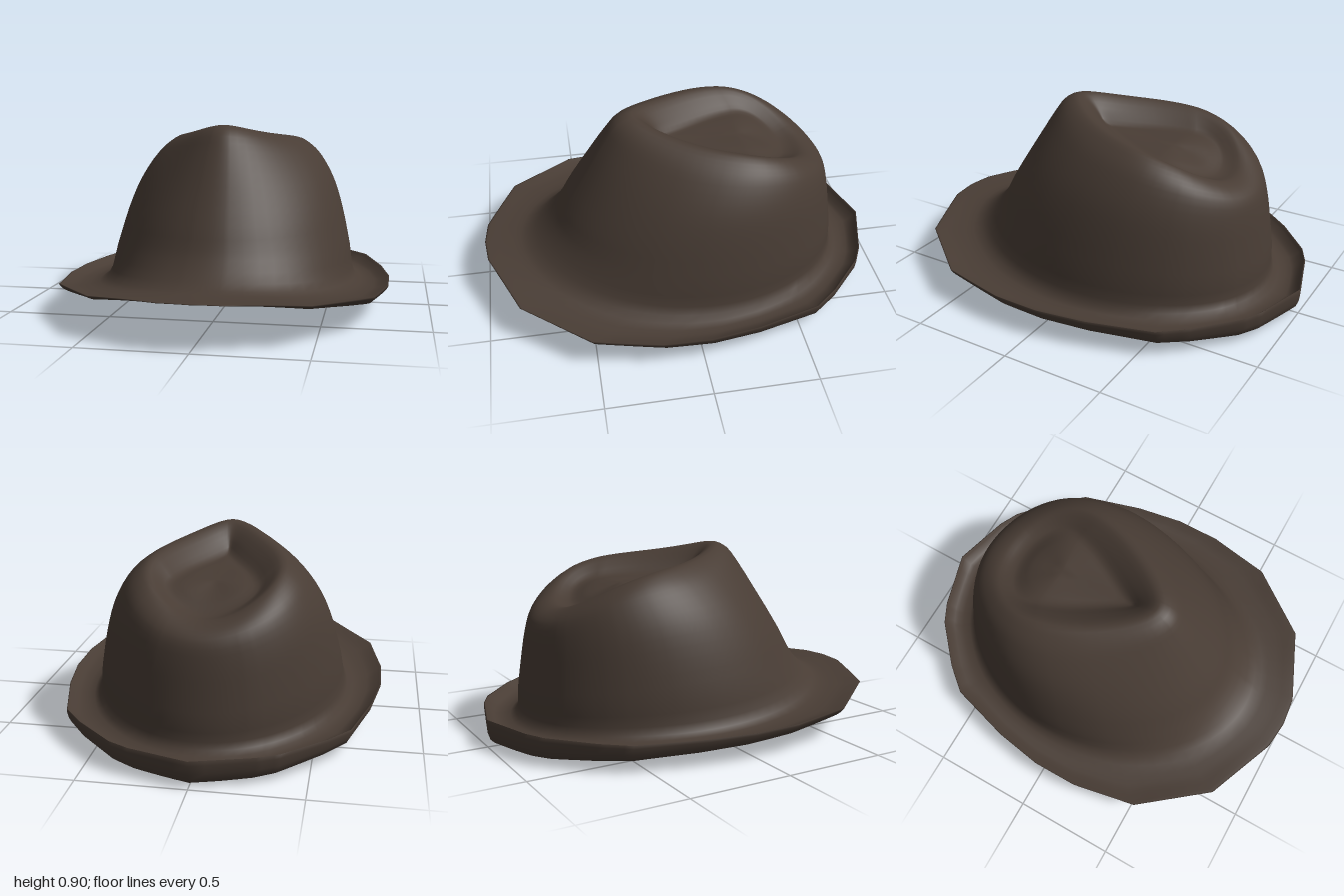
import * as THREE from 'three';
import { mergeVertices } from 'three/addons/utils/BufferGeometryUtils.js';

// Half of the faceted brim outline, front to back: [x, z]
const OUTLINE = [[0, 1], [0.14, 0.985], [0.49, 0.84], [0.74, 0.52], [0.8, 0.2], [0.8, -0.03],
  [0.76, -0.27], [0.67, -0.58], [0.57, -0.7], [0.38, -0.87], [0.28, -0.92], [0, -1]];

// Columns around the hat: angle from the front and outline radius relative to an ellipse
function makeColumns() {
  const half = [];
  for (let i = 0; i < OUTLINE.length - 1; i++) {
    for (const f of [0, 0.25, 0.5, 0.75]) {
      const [p, q] = [OUTLINE[i], OUTLINE[i + 1]];
      half.push([p[0] + (q[0] - p[0]) * f, p[1] + (q[1] - p[1]) * f]);
    }
  }
  half.push([0, -1]);
  const cols = half.map(([x, z]) => {
    const u = x / 0.8, v = (z - 0.1) / (z > 0.1 ? 0.9 : 1.1);
    return { a: Math.atan2(u, v), r: Math.hypot(u, v) };
  });
  const mirrored = cols.slice(1, -1).reverse().map(({ a, r }) => ({ a: -a, r }));
  return [...cols, ...mirrored];
}
const COLUMNS = makeColumns();

// Ring: half width, front z, back z, widest z, front y, side y, back y, front pinch, outline share
function ringPoint([w, zf, zb, zc, yf, ys, yb, pinch = 0, share = 0], { a, r }) {
  const k = 1 + (r - 1) * share;
  const s = Math.sin(a), c = Math.cos(a);
  const egg = (1 - pinch * (0.5 + 0.5 * c) ** 2) / (1 - 0.18 * pinch);
  const x = w * s * k * egg;
  const z = zc + (c > 0 ? zf - zc : zc - zb) * c * k;
  const y = ys + (yf - yb) / 2 * (0.5 * c + 0.5 * c ** 3) + ((yf + yb) / 2 - ys) * c * c;
  return new THREE.Vector3(x, y, z);
}

// Smooth skin through a stack of rings
function loft(name, rings, material, steps = 3) {
  const rows = (rings.length - 1) * steps;
  const n = COLUMNS.length;
  const pos = [], index = [];
  for (const col of COLUMNS) {
    const curve = new THREE.CatmullRomCurve3(rings.map((ring) => ringPoint(ring, col)));
    for (const p of curve.getPoints(rows)) pos.push(p.x, p.y, p.z);
  }
  for (let i = 0; i < n; i++) {
    for (let j = 0; j < rows; j++) {
      const a = i * (rows + 1) + j, b = ((i + 1) % n) * (rows + 1) + j;
      index.push(a, b, b + 1, a, b + 1, a + 1);
    }
  }
  let geo = new THREE.BufferGeometry();
  geo.setAttribute('position', new THREE.Float32BufferAttribute(pos, 3));
  geo.setIndex(index);
  geo = mergeVertices(geo, 1e-5);
  geo.computeVertexNormals();
  const mesh = new THREE.Mesh(geo, material);
  mesh.name = name;
  return mesh;
}

export function createModel() {
  const felt = new THREE.MeshStandardMaterial({ color: 0x483c34, side: THREE.DoubleSide });
  felt.name = 'brownFelt';

  // Crown wall, ridge and teardrop dent
  const crown = [
    [0.63, 0.78, -0.825, -0.05, 0.215, 0.13, 0.1],
    [0.6, 0.65, -0.81, -0.07, 0.32, 0.28, 0.22, 0.06],
    [0.56, 0.575, -0.79, -0.1, 0.45, 0.46, 0.36, 0.14],
    [0.51, 0.465, -0.77, -0.14, 0.63, 0.61, 0.48, 0.23],
    [0.44, 0.365, -0.745, -0.19, 0.79, 0.73, 0.565, 0.33],
    [0.385, 0.3, -0.7, -0.22, 0.875, 0.787, 0.61, 0.42],
    [0.32, 0.22, -0.635, -0.24, 0.9, 0.82, 0.635, 0.5],
    [0.26, 0.14, -0.575, -0.28, 0.835, 0.775, 0.63, 0.65],
    [0.21, 0.08, -0.53, -0.31, 0.765, 0.73, 0.635, 0.8],
    [0.13, -0.05, -0.46, -0.31, 0.745, 0.732, 0.675, 0.6],
    [0, -0.3, -0.3, -0.3, 0.73, 0.73, 0.73],
  ];

  // Inside of the crown, from the middle down to the opening
  const opening = [0.57, 0.65, -0.77, -0.05, 0.18, 0.1, 0.08];
  const lining = [opening, ...crown.slice(1, 6).map(([w, zf, zb, zc, yf, ys, yb, pinch]) =>
    [w - 0.02, zf - 0.025, zb + 0.02, zc, yf - 0.015, ys - 0.02, yb - 0.015, pinch]),
  [0.2, 0.06, -0.5, -0.3, 0.74, 0.71, 0.61, 0.6],
  [0, -0.3, -0.3, -0.3, 0.71, 0.71, 0.71]].reverse();

  // Brim: underside, upturned lip, then the top back to the crown
  const brim = [
    opening,
    [0.69, 0.84, -0.915, 0.04, 0.186, 0.07, 0.002, 0, 0.5],
    [0.775, 0.955, -0.985, 0.08, 0.198, 0.092, 0.035, 0, 1],
    [0.8, 1, -1, 0.1, 0.208, 0.14, 0.135, 0, 1],
    [0.78, 0.96, -0.982, 0.09, 0.208, 0.13, 0.11, 0, 1],
    [0.73, 0.89, -0.93, 0.05, 0.206, 0.11, 0.075, 0, 0.6],
  ];

  const hat = new THREE.Group();
  hat.name = 'hat';
  hat.add(loft('crownAndBrim', [...brim, ...crown], felt), loft('lining', lining, felt));
  return hat;
}
